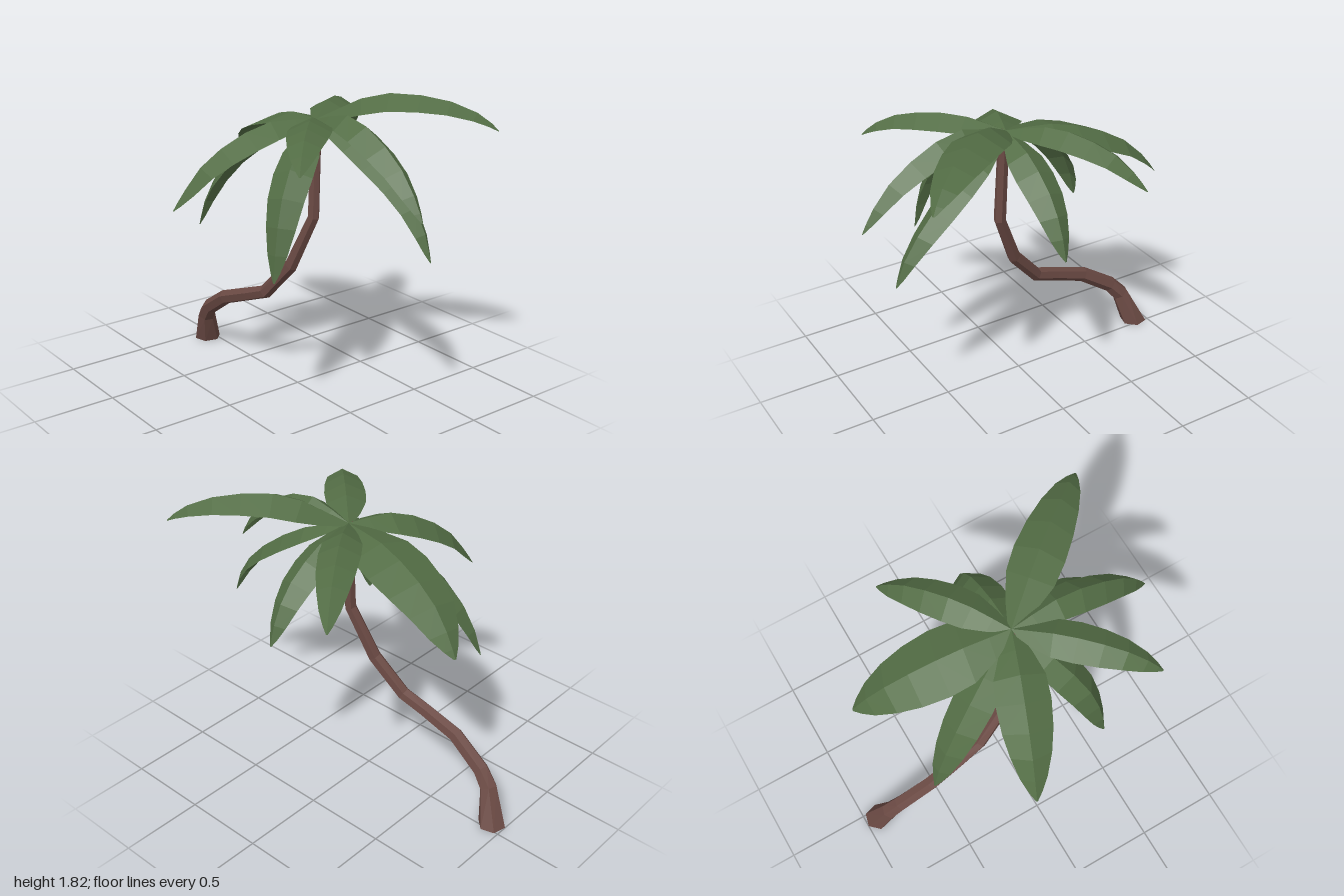
import * as THREE from 'three';

const V = (x, y, z) => new THREE.Vector3(x, y, z);
const CROWN = V(0.045, 1.655, 0.11);

// Skin a list of equal-length cross-sections; closed ones wrap round and get end caps
function loft(rings, closed) {
  const n = rings[0].length, index = [];
  for (let i = 0; i < rings.length - 1; i++) {
    for (let j = 0; j < (closed ? n : n - 1); j++) {
      const k = (j + 1) % n, a = i * n, b = a + n;
      index.push(a + j, a + k, b + k, a + j, b + k, b + j);
    }
  }
  if (closed) {
    const top = (rings.length - 1) * n;
    for (let j = 1; j < n - 1; j++) index.push(0, j + 1, j, top, top + j, top + j + 1);
  }
  const geometry = new THREE.BufferGeometry().setFromPoints(rings.flat());
  geometry.setIndex(index);
  const flat = geometry.toNonIndexed();
  flat.computeVertexNormals();
  return flat;
}

// Six-sided trunk: x, y, z, radius at each bend
function trunkGeometry() {
  const bends = [
    [-0.05, 0, -0.92, 0.083], [-0.103, 0.2, -0.842, 0.055], [-0.12, 0.283, -0.768, 0.049],
    [-0.138, 0.418, -0.56, 0.046], [-0.12, 0.5, -0.345, 0.043], [-0.1, 0.56, -0.187, 0.042],
    [-0.05, 0.77, 0, 0.041], [0.012, 1.09, 0.133, 0.036], [0.04, 1.65, 0.12, 0.032],
  ];
  const points = bends.map(([x, y, z]) => V(x, y, z));
  const rings = points.map((p, i) => {
    const t = V(0, 0, 0);
    if (i > 0) t.add(p.clone().sub(points[i - 1]).normalize());
    if (i < points.length - 1) t.add(points[i + 1].clone().sub(p).normalize());
    if (i === 0) t.set(0, 1, 0);
    t.normalize();
    const u = V(1, 0, 0).addScaledVector(t, -t.x).normalize();
    const v = t.clone().cross(u);
    return Array.from({ length: 6 }, (_, j) => {
      const a = (j / 6) * Math.PI * 2 - 0.25;
      return p.clone().addScaledVector(u, Math.cos(a) * bends[i][3]).addScaledVector(v, Math.sin(a) * bends[i][3]);
    });
  });
  return loft(rings, true);
}

// Arching leaf with a raised midrib; y1, y2, y3 are midrib heights at 35%, 75% and 93% of the reach
function frondGeometry([x, y, z, y1, y2, y3, halfWidth, fold, sway]) {
  const tip = V(x, y, z);
  const side = V(z - CROWN.z, 0, CROWN.x - x).normalize();
  const at = (f, h, s) => CROWN.clone().lerp(tip, f).setY(h).addScaledVector(side, s * sway);
  const curve = new THREE.CatmullRomCurve3([CROWN.clone(), at(0.35, y1, 0.8), at(0.75, y2, 1), at(0.93, y3, 0.4), tip]);
  const outline = [[0, 0.15], [0.12, 0.6], [0.26, 0.94], [0.41, 1], [0.57, 0.92], [0.72, 0.75], [0.86, 0.5], [0.95, 0.24], [1, 0.04]];
  const rings = outline.map(([s, w]) => {
    const mid = curve.getPointAt(s), t = curve.getTangentAt(s);
    const up = t.clone().cross(side).normalize();
    const half = w * halfWidth;
    const edge = (sign) => mid.clone().addScaledVector(side, sign * half).addScaledVector(up, -fold * half);
    return [edge(1), mid, edge(-1)];
  });
  return loft(rings, false);
}

export function createModel() {
  const model = new THREE.Group();
  model.name = 'palmTree';
  const bark = new THREE.MeshStandardMaterial({ color: 0x6b4a44, flatShading: true });
  const leaf = new THREE.MeshStandardMaterial({ color: 0x536d45, flatShading: true, side: THREE.DoubleSide });

  const trunk = new THREE.Mesh(trunkGeometry(), bark);
  trunk.name = 'trunk';
  model.add(trunk);

  // Tip x, y, z, three midrib heights, half width, fold, sideways sway
  const fronds = [
    [-0.73, 1.19, -0.18, 1.65, 1.47, 1.285, 0.15, 0.5, 0],
    [-0.3, 0.92, -0.59, 1.57, 1.33, 1.1, 0.12, 0.5, 0.015],
    [0.22, 1.245, -0.8, 1.635, 1.49, 1.34, 0.2, 0.28, 0.02],
    [0.72, 1.45, -0.36, 1.72, 1.635, 1.52, 0.115, 0.55, 0],
    [0.67, 1.14, 0.12, 1.615, 1.455, 1.28, 0.115, 0.55, 0],
    [0.68, 1.645, 0.9, 1.815, 1.79, 1.71, 0.145, 0.5, 0],
    [0.21, 0.99, 0.9, 1.565, 1.335, 1.14, 0.105, 0.6, 0.04],
    [0.045, 1.27, 1, 1.725, 1.56, 1.385, 0.105, 0.75, 0],
    [-0.53, 1.55, 0.71, 1.725, 1.69, 1.61, 0.12, 0.5, 0],
    [-0.49, 0.89, 0.43, 1.58, 1.38, 1.14, 0.115, 0.55, 0],
  ];
  const crown = new THREE.Group();
  crown.name = 'crown';
  fronds.forEach((spec, i) => {
    const frond = new THREE.Mesh(frondGeometry(spec), leaf);
    frond.name = `frond${i + 1}`;
    crown.add(frond);
  });
  model.add(crown);
  return model;
}
